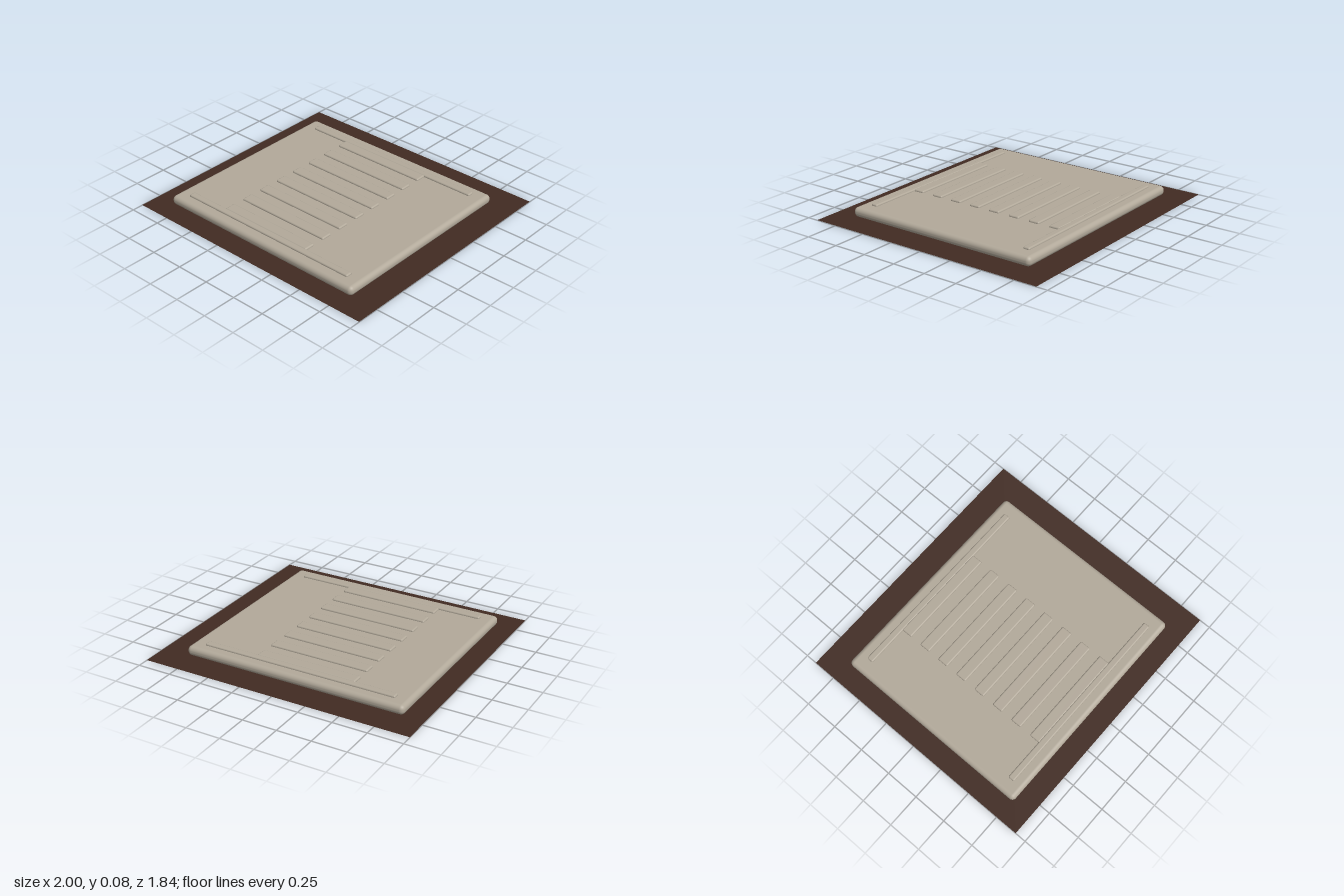
import * as THREE from 'three';
import { RoundedBoxGeometry } from 'three/addons/geometries/RoundedBoxGeometry.js';

export function createModel() {
  const model = new THREE.Group();
  const stone = new THREE.MeshStandardMaterial({ color: 0xb2a99a });
  stone.name = 'stone';
  const soil = new THREE.MeshStandardMaterial({ color: 0x412b22, side: THREE.DoubleSide });
  soil.name = 'soil';

  // Rounded block given by its extents
  function block(name, x0, x1, y0, y1, z0, z1, radius) {
    const geometry = new RoundedBoxGeometry(x1 - x0, y1 - y0, z1 - z0, 4, radius);
    const mesh = new THREE.Mesh(geometry, stone);
    mesh.name = name;
    mesh.position.set((x0 + x1) / 2, (y0 + y1) / 2, (z0 + z1) / 2);
    model.add(mesh);
  }

  // Flat sheet of ground around the slab
  const ground = new THREE.Mesh(new THREE.PlaneGeometry(2, 1.836), soil);
  ground.name = 'groundSheet';
  ground.rotation.x = -Math.PI / 2;
  ground.position.y = 0.002;
  model.add(ground);

  // Slab with rounded rim
  block('slab', -0.855, 0.805, 0, 0.07, -0.725, 0.769, 0.032);

  // Long raised bars at the back and front
  const top = 0.084;
  block('backBar', -0.755, 0.702, 0.05, top, -0.648, -0.598, 0.011);
  block('frontBar', -0.755, 0.702, 0.05, top, 0.641, 0.691, 0.011);

  // Row of eight raised rungs
  for (let i = 0; i < 8; i++) {
    const z = 0.021 + (i - 3.5) * 0.1667;
    block('rung' + (i + 1), -0.441, 0.307, 0.05, top, z - 0.042, z + 0.042, 0.011);
  }
  return model;
}
